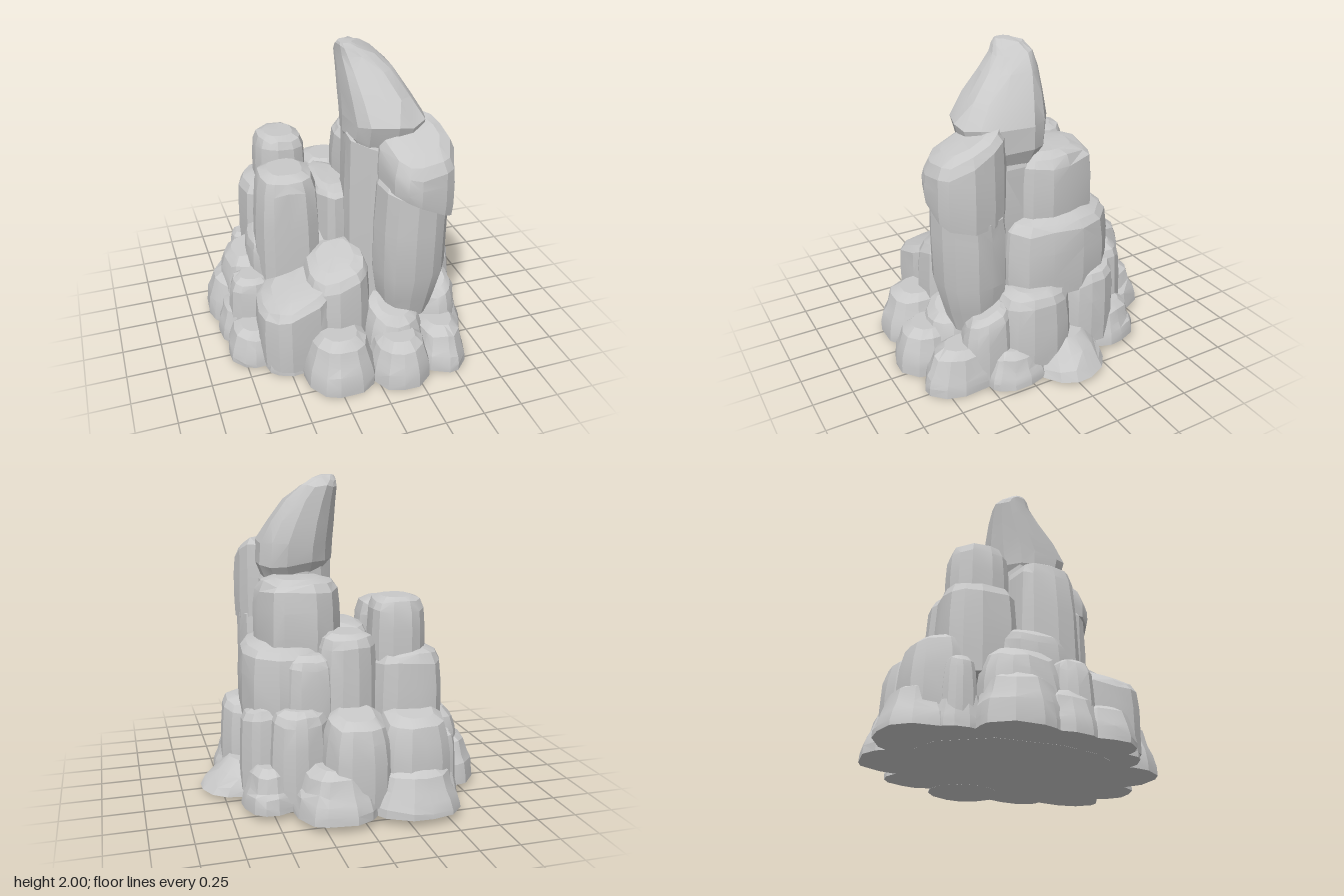
import * as THREE from 'three';
import { toCreasedNormals } from 'three/addons/utils/BufferGeometryUtils.js';

const SIDES = 13;
const stone = new THREE.MeshStandardMaterial({ color: 0xc8c8c8 });
stone.name = 'grey stone';

function seeded(seed) {
  let s = seed * 7919 + 17;
  return () => (s = (s * 16807) % 2147483647) / 2147483647;
}

// Lofts rounded rings [y, x0, x1, z0, z1, slopeX, slopeZ] into a closed, chipped boulder;
// a lower power makes the plan squarer
function loft(name, rings, seed, power = 0.86) {
  const rnd = seeded(seed), pos = [], idx = [];
  for (let i = 0; i < 5; i++) rnd();
  const wobble = Array.from({ length: SIDES }, () => 0.97 + rnd() * 0.05);
  const turn = Array.from({ length: SIDES }, () => (rnd() - 0.5) * 0.5);
  const soften = (v) => Math.sign(v) * Math.abs(v) ** power;
  rings.forEach(([y, x0, x1, z0, z1, sx = 0, sz = 0], r) => {
    for (let i = 0; i < SIDES; i++) {
      const a = ((i + 0.5 + turn[i]) / SIDES) * Math.PI * 2;
      const k = wobble[i] * (0.985 + rnd() * 0.03);
      const dx = soften(Math.cos(a)) * k * (x1 - x0) / 2;
      const dz = soften(Math.sin(a)) * k * (z1 - z0) / 2;
      const chip = r > 0 && r < rings.length - 1 ? (rnd() - 0.5) * 0.025 : 0;
      pos.push((x0 + x1) / 2 + dx, y + dx * sx + dz * sz + chip, (z0 + z1) / 2 + dz);
    }
  });
  for (let r = 0; r < rings.length - 1; r++) {
    for (let i = 0; i < SIDES; i++) {
      const j = (i + 1) % SIDES;
      const a = r * SIDES + i, b = r * SIDES + j, c = a + SIDES, d = b + SIDES;
      if (rnd() < 0.5) idx.push(a, c, b, b, c, d);
      else idx.push(a, c, d, a, d, b);
    }
  }
  // Flat caps below and above
  const last = (rings.length - 1) * SIDES;
  [[0, false], [last, true]].forEach(([start, up]) => {
    const [y, x0, x1, z0, z1] = rings[start / SIDES];
    const c = pos.length / 3;
    pos.push((x0 + x1) / 2, y, (z0 + z1) / 2);
    for (let i = 0; i < SIDES; i++) {
      const a = start + i, b = start + (i + 1) % SIDES;
      idx.push(c, up ? b : a, up ? a : b);
    }
  });
  const geo = new THREE.BufferGeometry();
  geo.setAttribute('position', new THREE.Float32BufferAttribute(pos, 3));
  geo.setIndex(idx);
  const mesh = new THREE.Mesh(toCreasedNormals(geo, 0.3), stone);
  mesh.name = name;
  return mesh;
}

// A boulder from its bounds: upright sides, rounded shoulder, tilted top
function rock(name, seed, [x0, x1, z0, z1, y0, y1], o = {}) {
  const { taper = 0.94, round = 0.08, sx = 0, sz = 0, bx = 0, bz = 0, foot = 0.97, power } = o;
  const cx = (x0 + x1) / 2, cz = (z0 + z1) / 2, shoulder = Math.min(round, (y1 - y0) * 0.5);
  const w = (x1 - x0) / 2, d = (z1 - z0) / 2;
  const ring = (y, s, t) => [y, cx - w * s, cx + w * s, cz - d * s, cz + d * s,
    bx + (sx - bx) * t, bz + (sz - bz) * t];
  const ys = y1 - shoulder;
  return loft(name, [
    ring(y0, foot, 0),
    ring(y0 + (ys - y0) * 0.3, 1, 0.3),
    ring(y0 + (ys - y0) * 0.7, (1 + taper) / 2 + 0.02, 0.7),
    ring(ys, taper, 1),
    ring(ys + shoulder * 0.65, taper * 0.87, 1),
    ring(y1, taper * 0.58, 1),
  ], seed, power);
}

export function createModel() {
  const model = new THREE.Group();
  model.name = 'rock formation';
  let seed = 1;
  const add = (group, bounds, o) => group.add(rock(group.name + ' ' + (group.children.length + 1), seed++, bounds, o));
  const section = (name) => {
    const g = new THREE.Group();
    g.name = name;
    model.add(g);
    return g;
  };

  // Spire: leaning pointed head over a tall shaft
  const spire = section('spire');
  spire.add(loft('spire head', [
    [1.34, 0.0, 0.4, 0.0, 0.4, -0.2, -0.1],
    [1.45, -0.04, 0.46, -0.06, 0.46, -0.1, 0],
    [1.58, -0.04, 0.45, -0.085, 0.5],
    [1.71, -0.04, 0.38, -0.085, 0.4],
    [1.84, -0.04, 0.29, -0.085, 0.27],
    [1.93, -0.04, 0.2, -0.08, 0.18],
    [1.975, -0.04, 0.12, -0.04, 0.15],
    [2.0, -0.03, 0.05, 0.02, 0.12],
  ], 91));
  add(spire, [-0.05, 0.44, -0.03, 0.45, 0.2, 1.48], { taper: 0.97, sx: -0.3 });

  // Front pillar: tilted block on a shaft that narrows at its foot
  const pillar = section('front pillar');
  add(pillar, [0.09, 0.545, 0.25, 0.73, 1.14, 1.53], { sz: -0.45, sx: 0.05, bx: -0.5, taper: 0.97, foot: 0.98 });
  pillar.add(loft('pillar shaft', [
    [0.3, 0.14, 0.46, 0.25, 0.6],
    [0.45, 0.1, 0.49, 0.25, 0.64],
    [0.64, 0.07, 0.53, 0.24, 0.69],
    [0.95, 0.07, 0.53, 0.24, 0.69],
    [1.16, 0.08, 0.53, 0.26, 0.69, -0.4],
    [1.25, 0.12, 0.45, 0.3, 0.62, -0.4],
  ], 92));

  // Stacked blocks on the model's left side
  const left = section('left stack');
  add(left, [-0.02, 0.52, -0.38, 0.23, 0.92, 1.385], { round: 0.07 });
  add(left, [0.06, 0.62, -0.46, 0.31, 0.5, 1.01], { taper: 0.95 });
  add(left, [0.3, 0.72, -0.1, 0.39, 0.1, 0.585], { taper: 0.92 });
  add(left, [0.28, 0.66, -0.45, -0.06, 0.1, 0.62], { taper: 0.92, sz: -0.2 });
  add(left, [0.13, 0.51, -0.61, -0.28, 0.1, 0.65], { taper: 0.9 });
  add(left, [0.33, 0.64, 0.28, 0.62, 0.06, 0.48], { taper: 0.9, sx: 0.1, sz: -0.45, round: 0.08 });
  add(left, [0.06, 0.42, -0.52, -0.18, 0.5, 0.96], { taper: 0.92 });

  // Columns on the model's right side and behind
  const right = section('right columns');
  add(right, [-0.585, -0.16, -0.19, 0.255, 0.3, 1.21], { taper: 0.88, round: 0.1, power: 0.66 });
  add(right, [-0.48, -0.14, -0.54, -0.16, 0.8, 1.29], { power: 0.75 });
  add(right, [-0.59, -0.13, -0.61, -0.15, 0.4, 0.98], { power: 0.75 });
  add(right, [-0.2, 0.06, -0.3, 0.25, 0.4, 1.085], { taper: 0.96, round: 0.05 });
  add(right, [-0.18, 0.2, -0.55, -0.15, 0.4, 1.08], { taper: 0.92 });

  // Middle tier of boulders
  const middle = section('middle boulder');
  add(middle, [-0.66, -0.2, 0.1, 0.615, 0.05, 0.55], { taper: 0.97, sx: 0.35, sz: -0.1, round: 0.06, power: 0.78 });
  add(middle, [-0.36, 0.06, 0.1, 0.615, 0.1, 0.71], { taper: 0.92, sx: 0.3, sz: -0.2, power: 0.78 });
  add(middle, [-0.79, -0.45, -0.06, 0.22, 0.04, 0.5], { taper: 0.9 });
  add(middle, [-0.79, -0.4, -0.45, 0.04, 0.05, 0.54], { taper: 0.9, sx: 0.25, round: 0.12 });
  add(middle, [-0.62, -0.4, -0.35, 0.16, 0.2, 0.7], { taper: 0.92 });
  add(middle, [-0.57, -0.12, -0.81, -0.4, 0.1, 0.63], { taper: 0.92, sz: 0.2, round: 0.12, power: 0.75 });
  add(middle, [-0.19, 0.22, -0.81, -0.4, 0.1, 0.64], { taper: 0.92, sz: 0.2, round: 0.12, power: 0.8 });
  add(middle, [-0.65, -0.46, -0.64, -0.44, 0.05, 0.46], { taper: 0.88 });
  add(middle, [-0.02, 0.38, 0.36, 0.74, 0.05, 0.4], { taper: 0.88, sz: -0.35, sx: -0.1 });

  // Base ring, cut off along one gently sloping floor
  const base = section('base boulder');
  [
    [-0.44, 0.03, 0.34, 0.86, 0.33, 0.84],
    [-0.04, 0.36, 0.46, 0.92, 0.29, 0.88],
    [0.29, 0.64, 0.32, 0.86, 0.28, 0.87],
    [0.4, 0.755, 0.11, 0.52, 0.24, 0.84],
    [0.32, 0.67, -0.62, -0.2, 0.3, 0.84],
    [-0.12, 0.4, -0.88, -0.36, 0.34, 0.82],
    [-0.61, -0.05, -0.92, -0.44, 0.32, 0.82],
    [-0.88, -0.42, -0.49, 0.02, 0.35, 0.86],
    [-0.86, -0.48, -0.18, 0.22, 0.29, 0.88],
    [-0.84, -0.46, 0.06, 0.45, 0.24, 0.9],
    [-0.65, -0.28, 0.2, 0.59, 0.2, 0.92],
    [-0.66, -0.4, -0.68, -0.38, 0.27, 0.88],
  ].forEach(([x0, x1, z0, z1, top, taper]) =>
    add(base, [x0, x1, z0, z1, 0.03 - 0.028 * (z0 + z1) / 2, top], { taper, bz: -0.028, foot: 1.01, round: 0.13 }));
  // Low pointed toe
  base.add(loft('base toe', [
    [0.03, 0.4, 0.88, -0.28, 0.21, 0, -0.028],
    [0.08, 0.4, 0.85, -0.27, 0.2],
    [0.15, 0.4, 0.77, -0.25, 0.17],
    [0.23, 0.42, 0.69, -0.18, 0.1],
  ], 93, 1.05));
  // Solid core that closes the gaps
  base.add(loft('core', [
    [0.03, -0.64, 0.6, -0.68, 0.64, 0, -0.028],
    [0.2, -0.55, 0.55, -0.6, 0.55],
    [0.5, -0.42, 0.42, -0.45, 0.35],
    [0.9, -0.25, 0.3, -0.35, 0.12],
  ], 94));
  return model;
}
